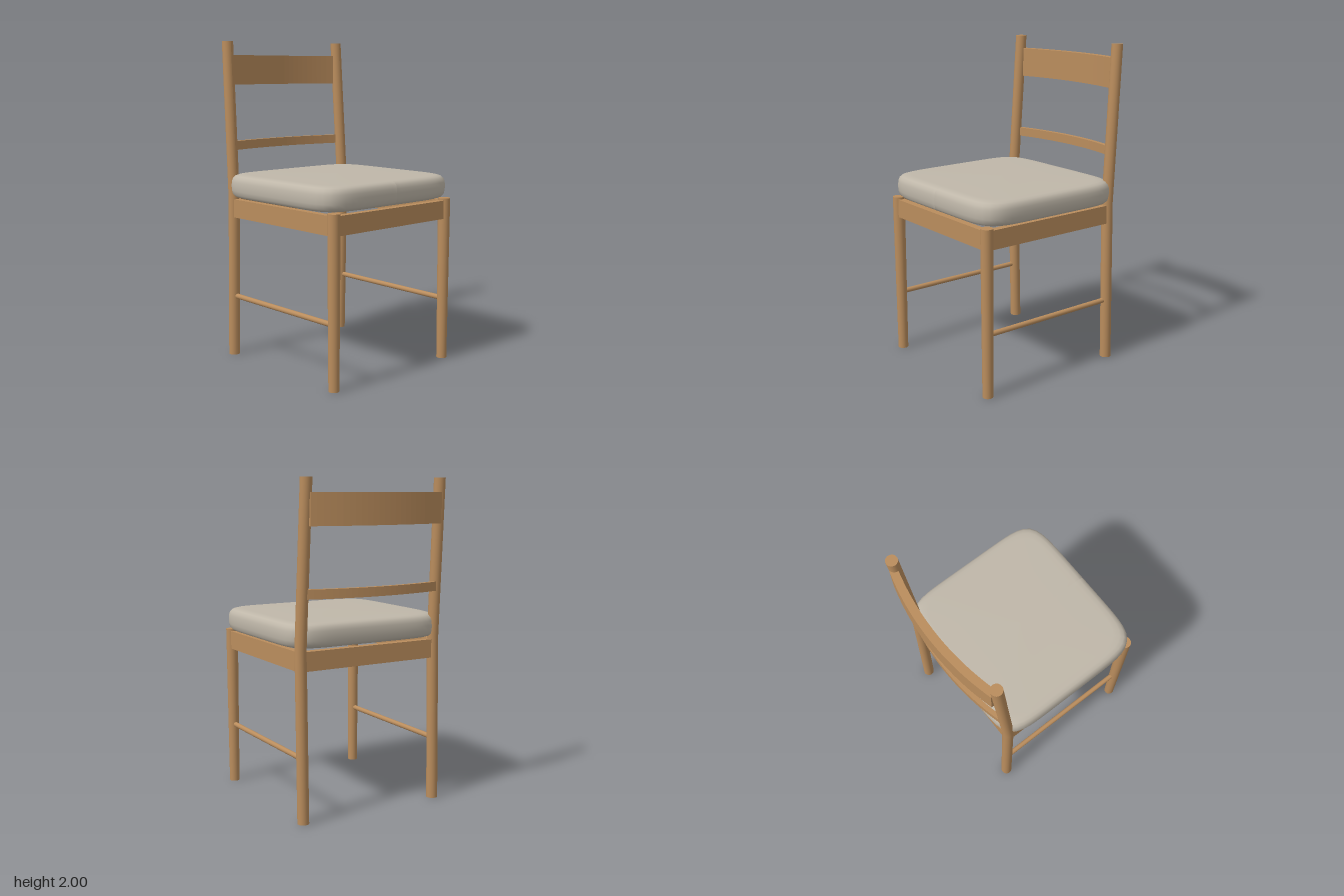
import * as THREE from 'three';

const wood = new THREE.MeshStandardMaterial({ color: 0xba8d5d });
wood.name = 'oak wood';
const fabric = new THREE.MeshStandardMaterial({ color: 0xbfb7a9 });
fabric.name = 'grey fabric';

function part(name, geometry, material, x = 0, y = 0, z = 0) {
  const mesh = new THREE.Mesh(geometry, material);
  mesh.name = name;
  mesh.position.set(x, y, z);
  return mesh;
}

// Round post whose centre bends at seat height, with level cut ends
function backPostGeometry(side) {
  const path = [[0, 0.467, -0.433], [1.03, 0.467, -0.412], [2, 0.457, -0.47]];
  const geo = new THREE.CylinderGeometry(0.035, 0.035, 2, 28, 2);
  geo.translate(0, 1, 0);
  const p = geo.attributes.position;
  for (let i = 0; i < p.count; i++) {
    const row = path[Math.round(p.getY(i))];
    p.setXYZ(i, p.getX(i) + side * row[1], row[0], p.getZ(i) + row[2]);
  }
  geo.computeVertexNormals();
  return geo;
}

// Back rail bowed to the rear: arc-shaped plan extruded vertically
function railGeometry(halfWidth, endZ, apexZ, thickness, height) {
  const steps = 24;
  const outer = [], inner = [];
  for (let i = 0; i <= steps; i++) {
    const t = (i / steps) * 2 - 1;
    const z = apexZ + (endZ - apexZ) * t * t;
    outer.push(new THREE.Vector2(t * halfWidth, z));
    inner.push(new THREE.Vector2(t * halfWidth, z + thickness));
  }
  const shape = new THREE.Shape([...outer, ...inner.reverse()]);
  const geo = new THREE.ExtrudeGeometry(shape, { depth: height, bevelEnabled: false });
  geo.rotateX(Math.PI / 2);
  geo.translate(0, height, 0);
  return geo;
}

// Soft pad: a lathe whose circles are squared off into superellipses
function cushionGeometry() {
  const halfX = 0.535, halfZ = 0.511, power = 7;
  const profile = [
    [0, 1.03], [0.88, 1.03], [0.93, 1.031], [0.965, 1.038], [0.988, 1.053],
    [0.998, 1.078], [1, 1.105], [0.997, 1.132], [0.985, 1.153],
    [0.96, 1.168], [0.92, 1.175], [0.86, 1.178], [0.5, 1.181], [0, 1.182],
  ].map(([r, y]) => new THREE.Vector2(r, y));
  const geo = new THREE.LatheGeometry(profile, 96);
  const p = geo.attributes.position;
  for (let i = 0; i < p.count; i++) {
    const x = p.getX(i), z = p.getZ(i);
    const r = Math.hypot(x, z);
    if (r < 1e-6) continue;
    const c = Math.abs(x / r), s = Math.abs(z / r);
    const k = 1 / Math.pow(c ** power + s ** power, 1 / power);
    p.setXYZ(i, x * k * halfX, p.getY(i), z * k * halfZ);
  }
  geo.computeVertexNormals();
  return geo;
}

export function createModel() {
  const chair = new THREE.Group();
  chair.name = 'chair';

  // Legs, side aprons and side stretchers, mirrored left and right
  const frontLeg = new THREE.CylinderGeometry(0.038, 0.032, 1.03, 28);
  const sideApron = new THREE.BoxGeometry(0.045, 0.115, 0.9);
  const stretcher = new THREE.CylinderGeometry(0.016, 0.016, 0.94, 16);
  stretcher.rotateX(Math.PI / 2);
  for (const [label, side] of [['left', 1], ['right', -1]]) {
    chair.add(part(label + 'FrontLeg', frontLeg, wood, side * 0.468, 0.515, 0.522));
    chair.add(part(label + 'BackPost', backPostGeometry(side), wood));
    chair.add(part(label + 'Apron', sideApron, wood, side * 0.467, 0.9595, 0.055));
    chair.add(part(label + 'Stretcher', stretcher, wood, side * 0.467, 0.388, 0.048));
  }

  // Front and back aprons
  const crossApron = new THREE.BoxGeometry(0.9, 0.115, 0.045);
  chair.add(part('frontApron', crossApron, wood, 0, 0.9595, 0.522));
  chair.add(part('backApron', crossApron, wood, 0, 0.9595, -0.413));

  // Bowed back rails
  chair.add(part('topRail', railGeometry(0.45, -0.503, -0.565, 0.049, 0.185), wood, 0, 1.73, 0));
  chair.add(part('lowerRail', railGeometry(0.45, -0.463, -0.525, 0.03, 0.056), wood, 0, 1.32, 0));

  // Seat cushion
  chair.add(part('seatCushion', cushionGeometry(), fabric, 0, 0, 0.05));

  return chair;
}
